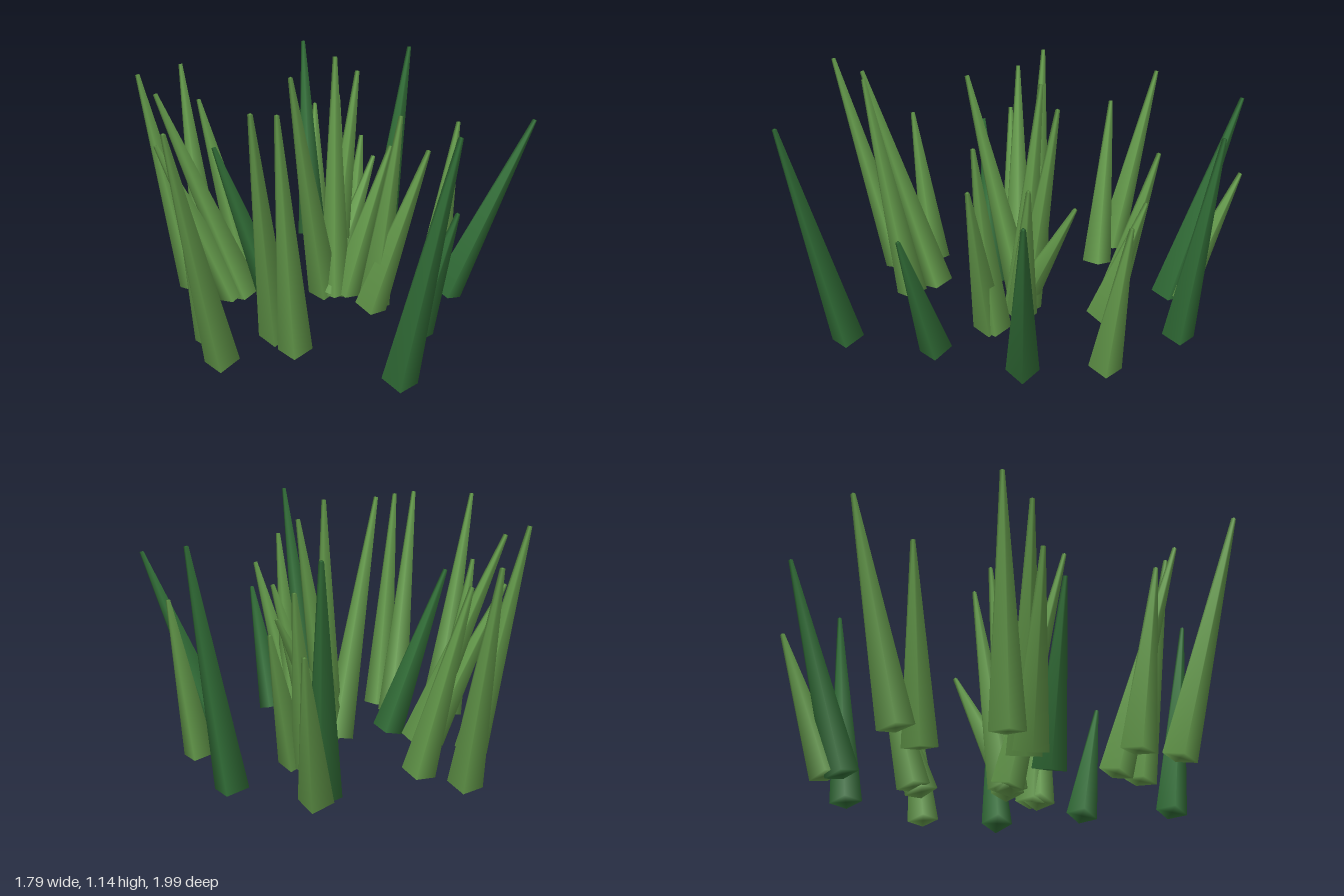
import * as THREE from 'three';
import { mergeVertices } from 'three/addons/utils/BufferGeometryUtils.js';

const lightGreen = new THREE.MeshStandardMaterial({ color: 0x68a04e });
lightGreen.name = 'light green';
const darkGreen = new THREE.MeshStandardMaterial({ color: 0x34733a });
darkGreen.name = 'dark green';

// Blades as [base x, base z, tip x, tip y, tip z]
const lightBlades = [
  // back
  [-0.11, -0.75, -0.12, 0.67, -0.99],
  [-0.67, -0.46, -0.79, 0.96, -0.67],
  [-0.47, -0.37, -0.67, 0.84, -0.43],
  [0.0, -0.39, 0.01, 0.82, -0.59],
  [0.07, -0.355, 0.127, 0.63, -0.53],
  [0.505, -0.34, 0.6, 0.735, -0.415],
  // right side
  [-0.67, -0.05, -0.885, 1.045, -0.09],
  [-0.415, 0.04, -0.785, 0.99, 0.04],
  [-0.47, 0.06, -0.79, 0.765, 0.08],
  // middle tuft
  [-0.03, 0.03, 0.18, 0.625, -0.215],
  [0.05, 0.02, 0.25, 0.74, -0.01],
  [-0.05, 0.01, -0.18, 1.12, 0.265],
  [0.0, 0.03, 0.0, 1.135, -0.065],
  [-0.02, 0.0, 0.1, 1.055, -0.135],
  [0.165, 0.17, 0.4, 0.8, 0.24],
  [0.18, 0.14, 0.28, 0.945, 0.22],
  // front
  [-0.52, 0.475, -0.62, 0.795, 0.57],
  [-0.25, 0.44, -0.3, 1.105, 0.755],
  [-0.16, 0.56, -0.205, 1.095, 0.735],
  [-0.455, 0.655, -0.585, 1.085, 0.94],
];
const darkBlades = [
  [-0.13, -0.685, -0.18, 1.015, -0.98],
  [0.25, -0.69, 0.375, 1.025, -0.795],
  [-0.265, 0.16, -0.515, 0.8, 0.21],
  [0.525, 0.015, 0.885, 0.87, 0.01],
  [0.36, 0.4, 0.5, 0.625, 0.52],
  [0.265, 0.805, 0.44, 1.09, 0.985],
];

// Four-sided tapering blade, standing on the origin, with softly shaded edges
function bladeGeometry(length) {
  const raw = new THREE.CylinderGeometry(0.01, 0.073, length, 4);
  raw.translate(0, length / 2, 0);
  raw.deleteAttribute('uv');
  raw.deleteAttribute('normal');
  const geometry = mergeVertices(raw, 1e-4);
  geometry.computeVertexNormals();
  return geometry;
}

function makeBlade([bx, bz, tx, ty, tz], material) {
  const base = new THREE.Vector3(bx, 0.028, bz);
  const axis = new THREE.Vector3(tx, ty, tz).sub(base);
  const blade = new THREE.Mesh(bladeGeometry(axis.length()), material);
  blade.name = 'grassBlade';
  blade.position.copy(base);
  blade.quaternion.setFromUnitVectors(new THREE.Vector3(0, 1, 0), axis.normalize());
  return blade;
}

export function createModel() {
  const model = new THREE.Group();
  model.name = 'grassPatch';
  for (const b of lightBlades) model.add(makeBlade(b, lightGreen));
  for (const b of darkBlades) model.add(makeBlade(b, darkGreen));
  return model;
}
